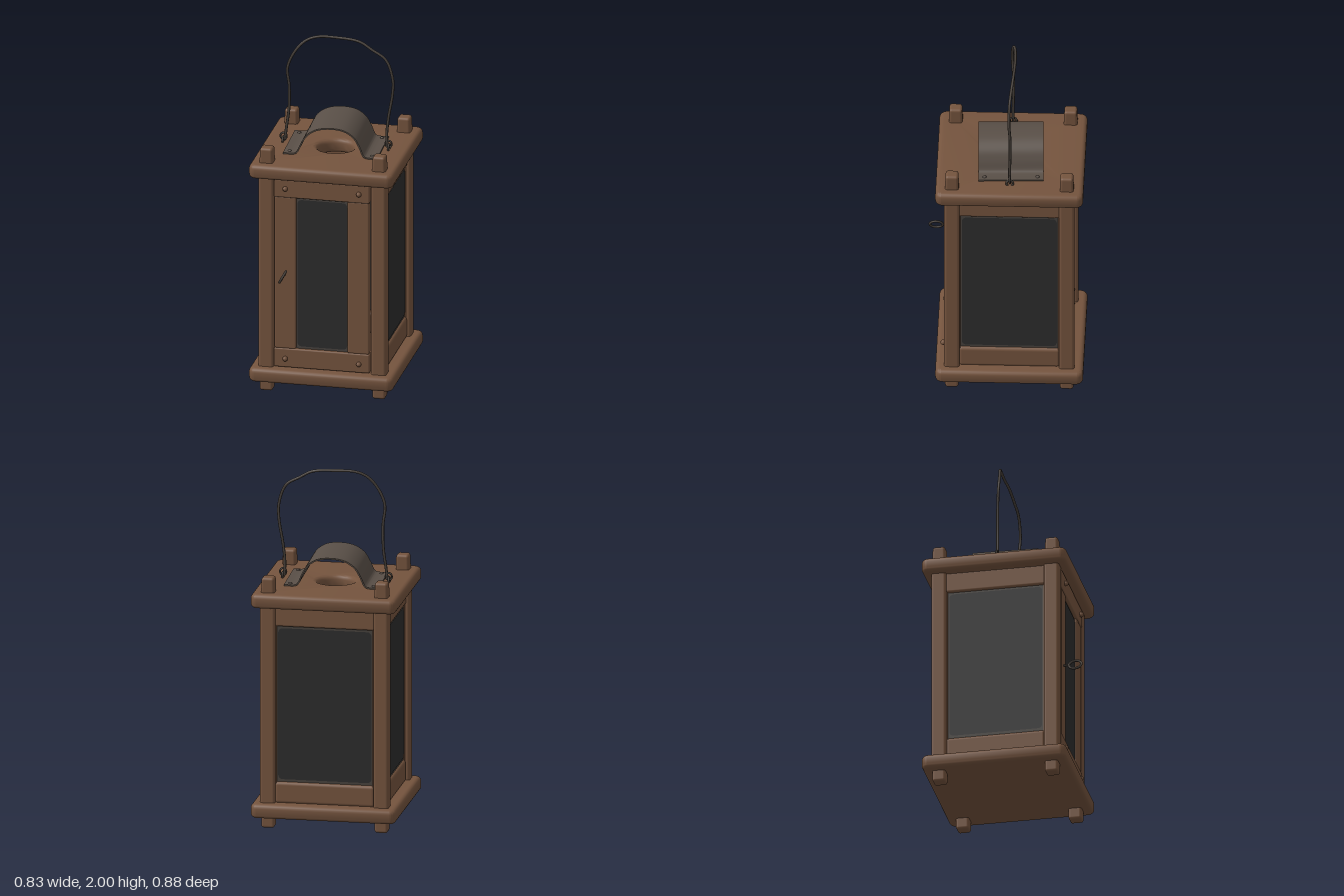
import * as THREE from 'three';
import { RoundedBoxGeometry } from 'three/addons/geometries/RoundedBoxGeometry.js';
import { toCreasedNormals } from 'three/addons/utils/BufferGeometryUtils.js';

const material = (name, color, side = THREE.FrontSide) => {
  const m = new THREE.MeshStandardMaterial({ color, side });
  m.name = name;
  return m;
};

// Rounded rectangle centred on (0, cy)
function roundRect(w, h, r, cy = 0) {
  const s = new THREE.Shape(), x = w / 2, y = h / 2;
  s.absarc(x - r, cy + y - r, r, 0, Math.PI / 2);
  s.absarc(-x + r, cy + y - r, r, Math.PI / 2, Math.PI);
  s.absarc(-x + r, cy - y + r, r, Math.PI, Math.PI * 1.5);
  s.absarc(x - r, cy - y + r, r, Math.PI * 1.5, Math.PI * 2);
  s.closePath();
  return s;
}

export function createModel() {
  const wood = material('brown wood', 0x75543e);
  const glass = material('dark glass', 0x2d2d2d, THREE.DoubleSide);
  const rimMetal = material('glass rim', 0x47423d, THREE.DoubleSide);
  const iron = material('iron', 0x594f47, THREE.DoubleSide);
  const wire = material('dark wire', 0x463f39);

  const model = new THREE.Group();
  model.name = 'lantern';
  const body = new THREE.Group();
  body.name = 'body';
  body.position.z = -0.027;
  model.add(body);

  const add = (parent, name, geo, mat, x = 0, y = 0, z = 0) => {
    const mesh = new THREE.Mesh(geo, mat);
    mesh.name = name;
    mesh.position.set(x, y, z);
    parent.add(mesh);
    return mesh;
  };
  const box = (parent, name, x0, x1, y0, y1, z0, z1, r = 0.012) => add(parent, name,
    new RoundedBoxGeometry(x1 - x0, y1 - y0, z1 - z0, 3, r), wood,
    (x0 + x1) / 2, (y0 + y1) / 2, (z0 + z1) / 2);

  // Base and roof boards; the roof has a smoke hole
  const board = (name, y, hole) => {
    const bevel = 0.026, s = roundRect(0.826 - 2 * bevel, 0.826 - 2 * bevel, 0.015);
    if (hole) s.holes.push(new THREE.Path().absarc(0, 0, hole, 0, Math.PI * 2, true));
    const geo = new THREE.ExtrudeGeometry(s, {
      depth: 0.082 - 2 * bevel, bevelSize: bevel, bevelThickness: bevel, bevelSegments: 5, curveSegments: 16,
    });
    geo.rotateX(-Math.PI / 2);
    add(body, name, toCreasedNormals(geo, 0.7), wood, 0, y + bevel, 0);
  };
  board('baseBoard', 0.064, 0);
  board('roofBoard', 1.274, 0.13);

  // Corner posts with feet below and pegs above
  for (const sx of [-1, 1]) for (const sz of [-1, 1]) {
    const x = sx * 0.322, z = sz * 0.321;
    add(body, 'post', new RoundedBoxGeometry(0.086, 1.16, 0.086, 3, 0.016), wood, x, 0.71, z);
    add(body, 'foot', new RoundedBoxGeometry(0.074, 0.12, 0.074, 3, 0.014), wood, x, 0.06, z);
    const peg = new RoundedBoxGeometry(0.08, 0.14, 0.08, 3, 0.016);
    const p = peg.attributes.position;
    for (let i = 0; i < p.count; i++) if (p.getY(i) > 0) {
      p.setX(i, p.getX(i) * 0.9);
      p.setZ(i, p.getZ(i) * 0.9);
    }
    add(body, 'peg', peg, wood, x, 1.372, z);
  }

  // Glass pane with a thin rim behind it
  const pane = (parent, w, y0, y1, z) => {
    const cy = (y0 + y1) / 2, h = y1 - y0;
    add(parent, 'glassRim', new THREE.ShapeGeometry(roundRect(w + 0.03, h + 0.03, 0.012, cy), 6), rimMetal, 0, 0, z - 0.004);
    add(parent, 'glass', new THREE.ShapeGeometry(roundRect(w, h, 0.025, cy), 6), glass, 0, 0, z);
  };

  // Side and back walls
  for (const [name, angle] of [['leftWall', Math.PI / 2], ['backWall', Math.PI], ['rightWall', -Math.PI / 2]]) {
    const wall = new THREE.Group();
    wall.name = name;
    wall.rotation.y = angle;
    body.add(wall);
    box(wall, 'topRail', -0.285, 0.285, 1.162, 1.28, 0.29, 0.346);
    box(wall, 'bottomRail', -0.285, 0.285, 0.14, 0.266, 0.29, 0.346, 0.02);
    pane(wall, 0.53, 0.28, 1.15, 0.335);
    for (const s of [-1, 1]) box(wall, 'stile', s * 0.281 - 0.009, s * 0.281 + 0.009, 0.25, 1.18, 0.3, 0.34, 0.005);
  }

  // Front door: rails, stiles, pane, nails
  const door = new THREE.Group();
  door.name = 'door';
  body.add(door);
  box(door, 'topRail', -0.275, 0.272, 1.162, 1.27, 0.31, 0.367, 0.008);
  box(door, 'bottomRail', -0.275, 0.272, 0.152, 0.264, 0.31, 0.367, 0.008);
  box(door, 'wideStile', -0.272, -0.15, 0.262, 1.165, 0.31, 0.362, 0.008);
  box(door, 'narrowStile', 0.145, 0.268, 0.262, 1.165, 0.31, 0.362, 0.008);
  pane(door, 0.285, 0.278, 1.15, 0.352);
  const dome = new THREE.SphereGeometry(0.015, 10, 6);
  for (const x of [-0.208, 0.213]) for (const y of [0.205, 1.217])
    add(door, 'nail', dome, wood, x, y, 0.374);

  // Tilted ring pull
  const pull = add(model, 'ringPull', new THREE.TorusGeometry(0.036, 0.007, 8, 20), wire, -0.21, 0.712, 0.4);
  pull.rotation.set(0, Math.PI / 2, -0.5, 'ZYX');
  const pin = add(model, 'ringPin', new THREE.CylinderGeometry(0.006, 0.006, 0.04, 8), wire, -0.21, 0.712, 0.35);
  pin.rotation.x = Math.PI / 2;

  // Arched smoke cover: one bent sheet with flat flanges
  const cover = new THREE.Group();
  cover.name = 'smokeCover';
  cover.position.set(0, 0, -0.025);
  cover.rotation.y = 0.035;
  model.add(cover);
  const arch = new THREE.CatmullRomCurve3([
    [-0.267, 1.361], [-0.21, 1.361], [-0.19, 1.37], [-0.165, 1.42], [-0.135, 1.47], [-0.08, 1.508], [0, 1.522],
    [0.08, 1.512], [0.135, 1.475], [0.165, 1.425], [0.19, 1.37], [0.21, 1.361], [0.267, 1.361],
  ].map(([x, y]) => new THREE.Vector3(x, y, 0))).getPoints(60);
  const offset = (d) => arch.map((p, i) => {
    const a = arch[Math.max(i - 1, 0)], b = arch[Math.min(i + 1, arch.length - 1)];
    const l = Math.hypot(b.x - a.x, b.y - a.y);
    return new THREE.Vector2(p.x - (b.y - a.y) / l * d, p.y + (b.x - a.x) / l * d);
  });
  const section = new THREE.Shape([...offset(0.004), ...offset(-0.004).reverse()]);
  const sheet = new THREE.ExtrudeGeometry(section, { depth: 0.364, bevelEnabled: false });
  sheet.translate(0, 0, -0.182);
  add(cover, 'bentSheet', toCreasedNormals(sheet, 0.6), iron);
  for (const x of [-0.235, 0.235]) for (const z of [-0.148, 0.148]) {
    const rivet = add(cover, 'rivet', new THREE.SphereGeometry(0.011, 10, 6), iron, x, 1.364, z);
    rivet.scale.y = 0.7;
  }

  // Wire bail handle
  const path = new THREE.CatmullRomCurve3([
    [-0.292, 1.37, -0.028], [-0.284, 1.44, -0.027], [-0.27, 1.55, -0.03], [-0.268, 1.69, -0.03], [-0.277, 1.8, -0.024],
    [-0.235, 1.9, -0.026], [-0.175, 1.965, -0.036], [-0.11, 1.99, -0.045], [0, 1.992, -0.049], [0.13, 1.98, -0.043],
    [0.205, 1.94, -0.034], [0.285, 1.89, -0.026], [0.325, 1.78, -0.024], [0.323, 1.69, -0.03], [0.3, 1.55, -0.03],
    [0.29, 1.44, -0.027], [0.294, 1.37, -0.028],
  ].map((p) => new THREE.Vector3(...p)));
  add(model, 'handle', new THREE.TubeGeometry(path, 90, 0.008, 8), wire);

  // Staples and hooked wire ends
  for (const s of [-1, 1]) {
    const staple = add(model, 'staple', new THREE.TorusGeometry(0.019, 0.006, 8, 16), wire, s * 0.302, 1.368, -0.028);
    staple.rotation.y = Math.PI / 2;
    const hook = add(model, 'hook', new THREE.TorusGeometry(0.02, 0.006, 8, 16), wire, s * 0.3, 1.39, -0.028);
    hook.scale.x = 0.9;
  }
  return model;
}
